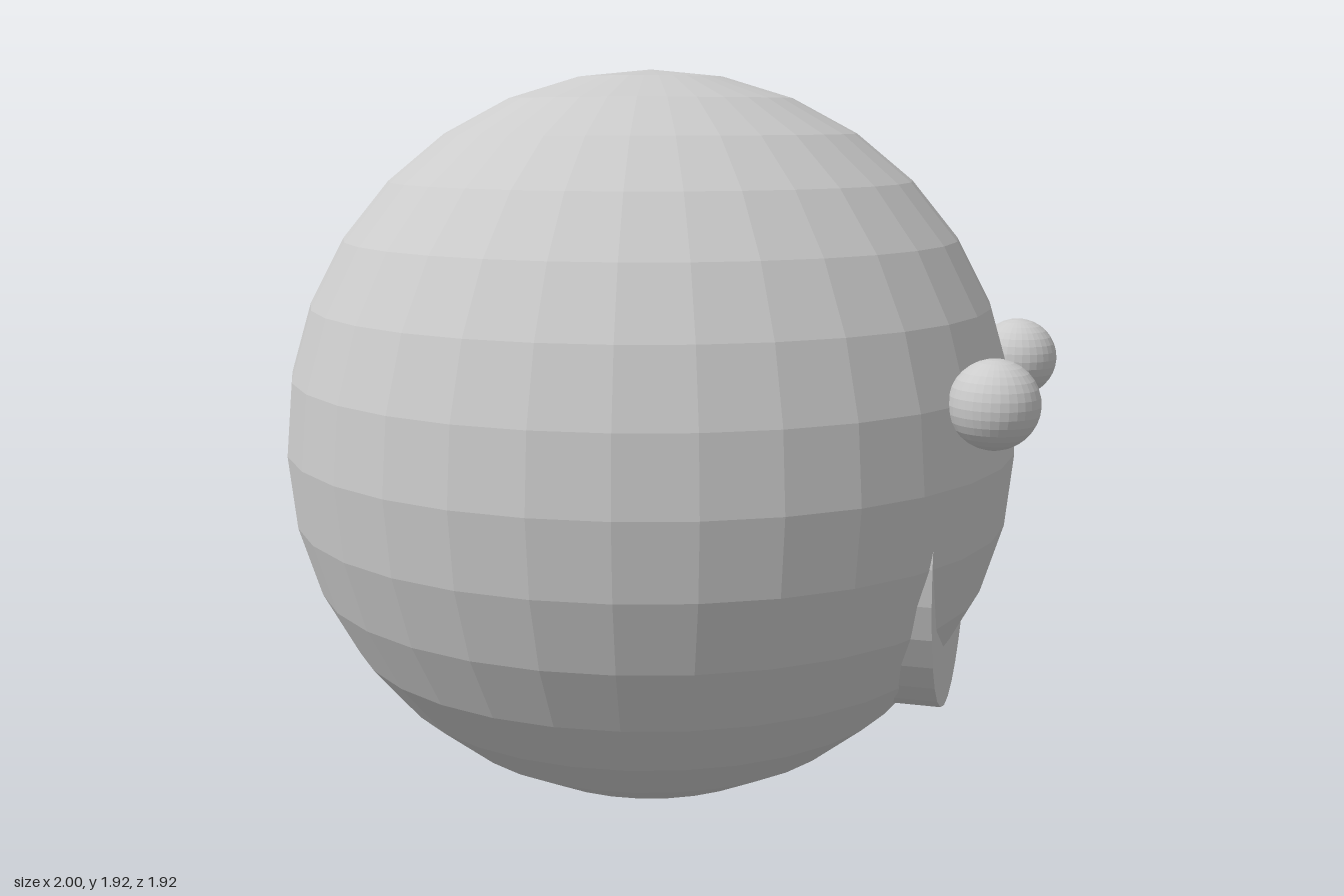
import * as THREE from 'three';

export function createModel() {
  const group = new THREE.Group();
  const material = new THREE.MeshStandardMaterial({ color: 0xcccccc, flatShading: true });

  const add = (name, geometry, x, y, z) => {
    const mesh = new THREE.Mesh(geometry, material);
    mesh.name = name;
    mesh.position.set(x, y, z);
    group.add(mesh);
    return mesh;
  };

  // Round head, its face looking along +x
  add('head', new THREE.SphereGeometry(0.96, 32, 16), -0.04, 0.967, 0);

  // Bead eyes resting on the surface
  const eye = new THREE.SphereGeometry(0.106, 32, 16);
  for (const side of [1, -1]) {
    add(side > 0 ? 'leftEye' : 'rightEye', eye, 0.893, 1.16, side * 0.385);
  }

  // Disc sunk into the head so only its lower rim shows as a smile
  const disc = new THREE.CylinderGeometry(0.477, 0.477, 0.25, 32);
  disc.rotateZ(-Math.PI / 2);
  add('smile', disc, 0.65, 0.782, 0);

  return group;
}
